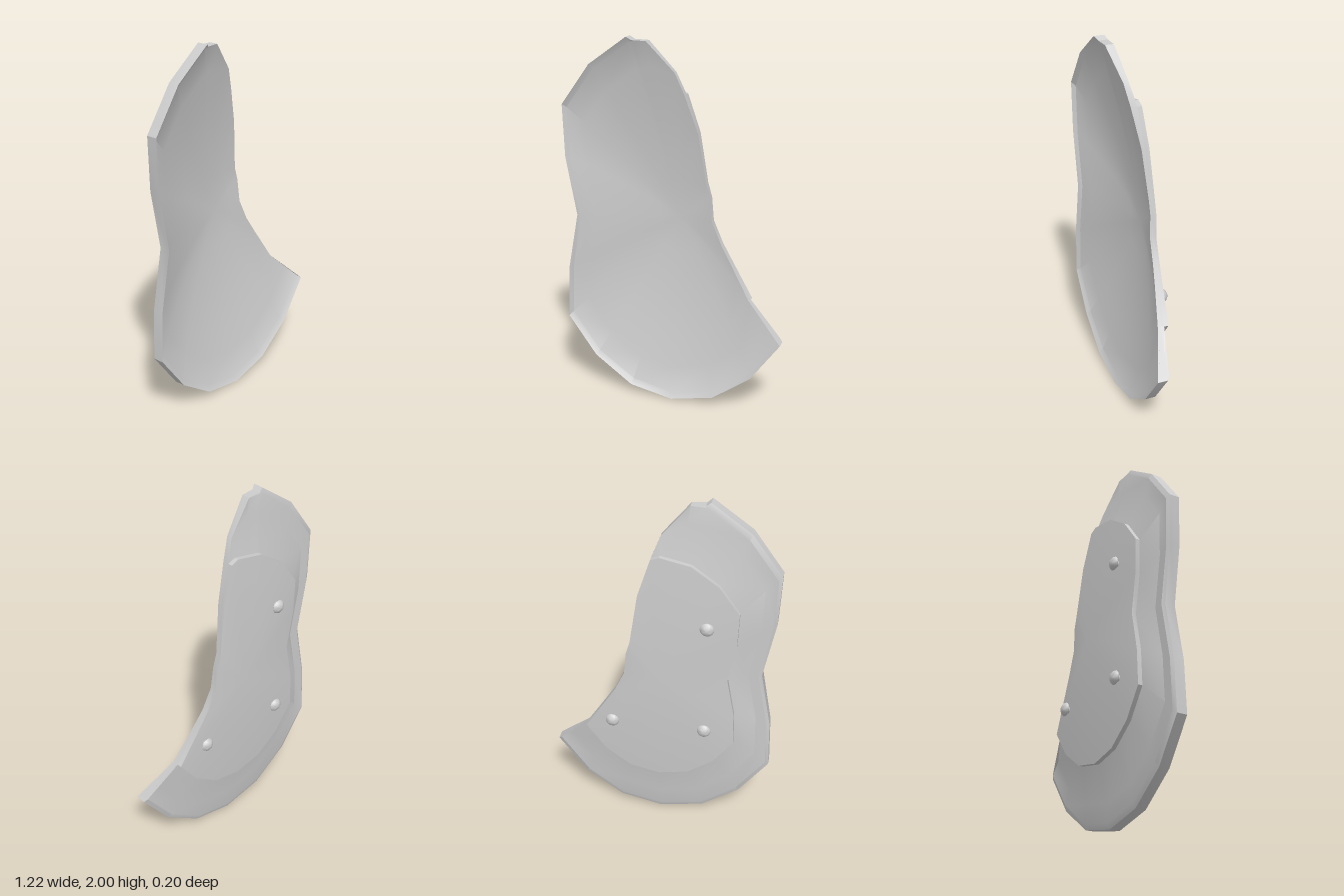
import * as THREE from 'three';
import { mergeVertices, toCreasedNormals } from 'three/addons/utils/BufferGeometryUtils.js';

const CENTRE_Y = 1.025;

// Outline of the whole, unbroken shield, relative to its centre
const quarter = [[0, 1.025], [0.24, 0.975], [0.45, 0.825], [0.61, 0.605], [0.6, 0.32], [0.54, 0]];
const half = [...quarter, ...quarter.slice(0, -1).reverse().map(([x, y]) => [x, -y])];
const whole = [...half.map(([x, y]) => [-x, y]), ...half.slice(1, -1).reverse()];

// The surviving fragment: intact rim from the top down and round, then the broken edge back up
const rim = whole.slice(1, 14);
const broken = [
  [0.412, -0.409], [0.3, -0.225], [0.24, -0.125], [0.185, -0.005], [0.172, 0.125],
  [0.15, 0.2], [0.11, 0.475], [0.045, 0.68], [0, 0.795], [-0.14, 0.955], [-0.215, 0.957],
];

// How far out a point lies, from 0 at the centre to 1 on the whole outline
function ratio([x, y]) {
  for (let i = 0; i < whole.length; i++) {
    const a = whole[i], b = whole[(i + 1) % whole.length];
    const dx = b[0] - a[0], dy = b[1] - a[1];
    const t = (x * dy - y * dx) / (a[0] * dy - a[1] * dx);
    if (t <= 0) continue;
    const u = ((x / t - a[0]) * dx + (y / t - a[1]) * dy) / (dx * dx + dy * dy);
    if (u > -1e-6 && u < 1 + 1e-6) return t;
  }
  return 1;
}

const rays = [...rim, ...broken].map((p) => {
  const s = Math.min(1, ratio(p));
  return { x: p[0] / s, y: p[1] / s, max: s };
});

// Cut a profile of [ratio, z] points off where the break lies
function clip(profile, max) {
  let cut = null;
  return profile.map(([s, z], i) => {
    if (cut) return cut;
    if (s <= max + 1e-6) return [s, z];
    const [s0, z0] = profile[i - 1];
    cut = [max, z0 + ((z - z0) * (max - s0)) / (s - s0)];
    return cut;
  });
}

// Closed dished layer between a back and a front profile, both running outwards
function layer(name, back, front, material) {
  const positions = [];
  const columns = rays.map((r) =>
    [...clip(back, r.max), ...clip(front, r.max).reverse()].map(
      ([s, z]) => new THREE.Vector3(r.x * s, CENTRE_Y + r.y * s, z)));
  const triangle = (a, b, c) => {
    const area = b.clone().sub(a).cross(c.clone().sub(a)).length();
    if (area > 1e-7) [a, b, c].forEach((v) => positions.push(v.x, v.y, v.z));
  };
  columns.forEach((p, i) => {
    const q = columns[(i + 1) % columns.length];
    for (let j = 0; j < p.length - 1; j++) {
      triangle(p[j], q[j], q[j + 1]);
      triangle(p[j], q[j + 1], p[j + 1]);
    }
  });
  let geometry = new THREE.BufferGeometry();
  geometry.setAttribute('position', new THREE.Float32BufferAttribute(positions, 3));
  geometry = toCreasedNormals(mergeVertices(geometry, 1e-5), 0.42);
  const mesh = new THREE.Mesh(geometry, material);
  mesh.name = name;
  return mesh;
}

export function createModel() {
  const group = new THREE.Group();
  group.name = 'brokenShield';
  const material = new THREE.MeshStandardMaterial({ color: 0xcccccc });

  // Dished body with a raised lip round the rim
  const bowl = [0, 0.2, 0.4, 0.55, 0.68, 0.83, 0.97].map((s) => [s, -0.06 + 0.147 * s ** 1.7]);
  group.add(layer('shieldBody',
    [[0, -0.072], [0.68, -0.02], [0.87, 0.03], [0.97, 0.03], [1, 0.042]],
    [...bowl, [1, 0.1]], material));

  // Raised plate over the middle
  group.add(layer('centrePlate',
    [[0, -0.097], [0.68, -0.045]],
    [[0, -0.07], [0.68, -0.018]], material));

  // Domed rivets with a short stem
  const profile = [[0, -0.025], [0.018, -0.025], [0.018, 0], [0.034, 0], [0.038, 0.005],
    [0.033, 0.015], [0.02, 0.025], [0, 0.03]].map(([x, y]) => new THREE.Vector2(x, y));
  const rivetGeometry = toCreasedNormals(new THREE.LatheGeometry(profile, 16).rotateX(-Math.PI / 2), 0.7);
  for (const [x, y] of [[-0.255, 0.7], [0.255, 0.7], [-0.255, 1.355]]) {
    const rivet = new THREE.Mesh(rivetGeometry, material);
    rivet.name = 'rivet';
    rivet.position.set(x, y, -0.075);
    group.add(rivet);
  }
  return group;
}
